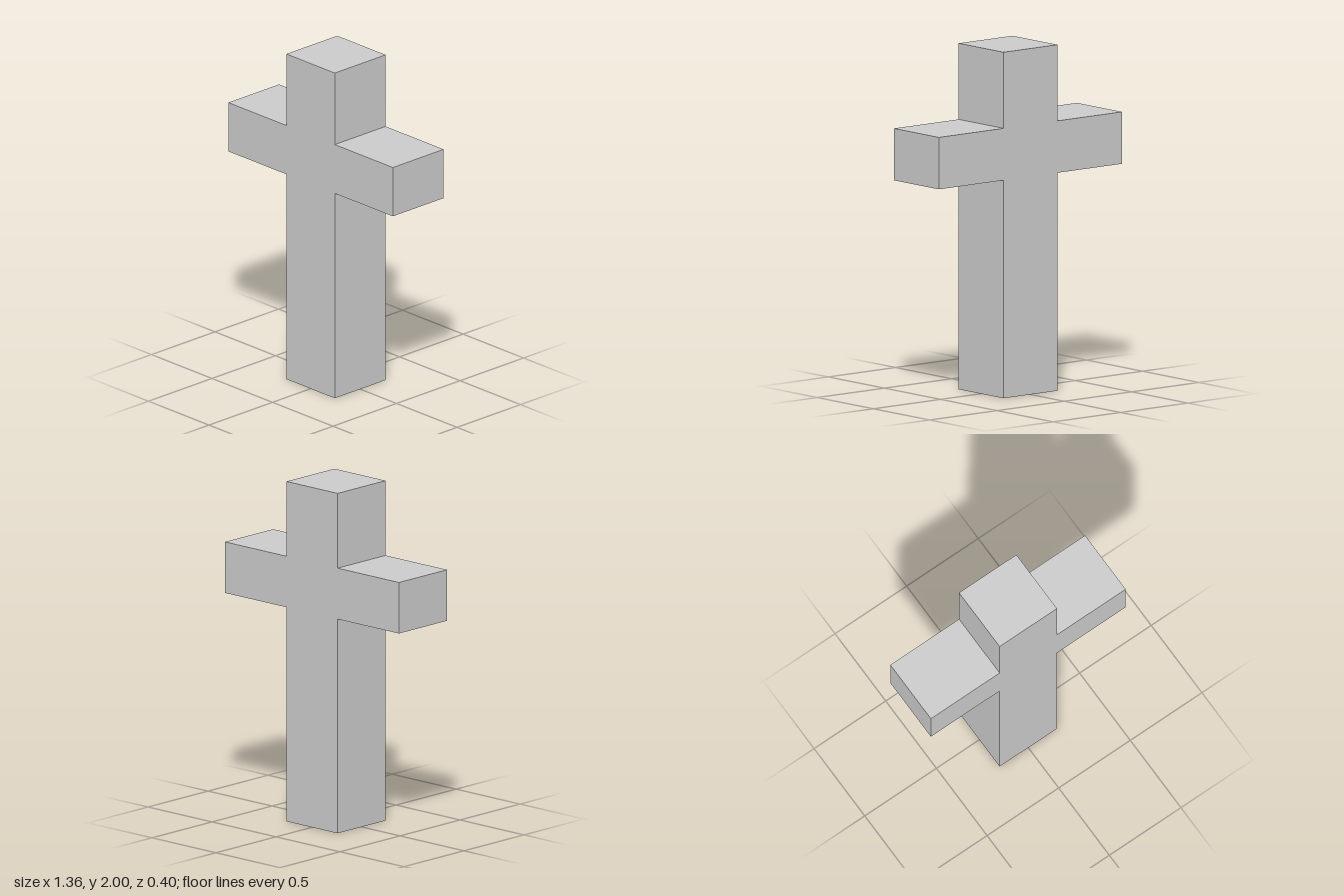
import * as THREE from 'three';

export function createModel() {
  const model = new THREE.Group();
  const post = 0.2, arm = 0.68, depth = 0.4, height = 2;
  const armBottom = 1.26, armTop = 1.56;

  // Right half of the outline from bottom to top, mirrored for the other half
  const half = [
    [post, 0], [post, armBottom], [arm, armBottom],
    [arm, armTop], [post, armTop], [post, height],
  ];
  const mirrored = half.map(([x, y]) => [-x, y]).reverse();
  const outline = new THREE.Shape(
    [...half, ...mirrored].map(([x, y]) => new THREE.Vector2(x, y))
  );

  // Upright and crossbar as one solid with flush faces
  const geometry = new THREE.ExtrudeGeometry(outline, { depth, bevelEnabled: false });
  geometry.translate(0, 0, -depth / 2);
  const cross = new THREE.Mesh(
    geometry,
    new THREE.MeshStandardMaterial({ color: 0xcccccc, flatShading: true })
  );
  cross.name = 'cross';
  model.add(cross);
  return model;
}
